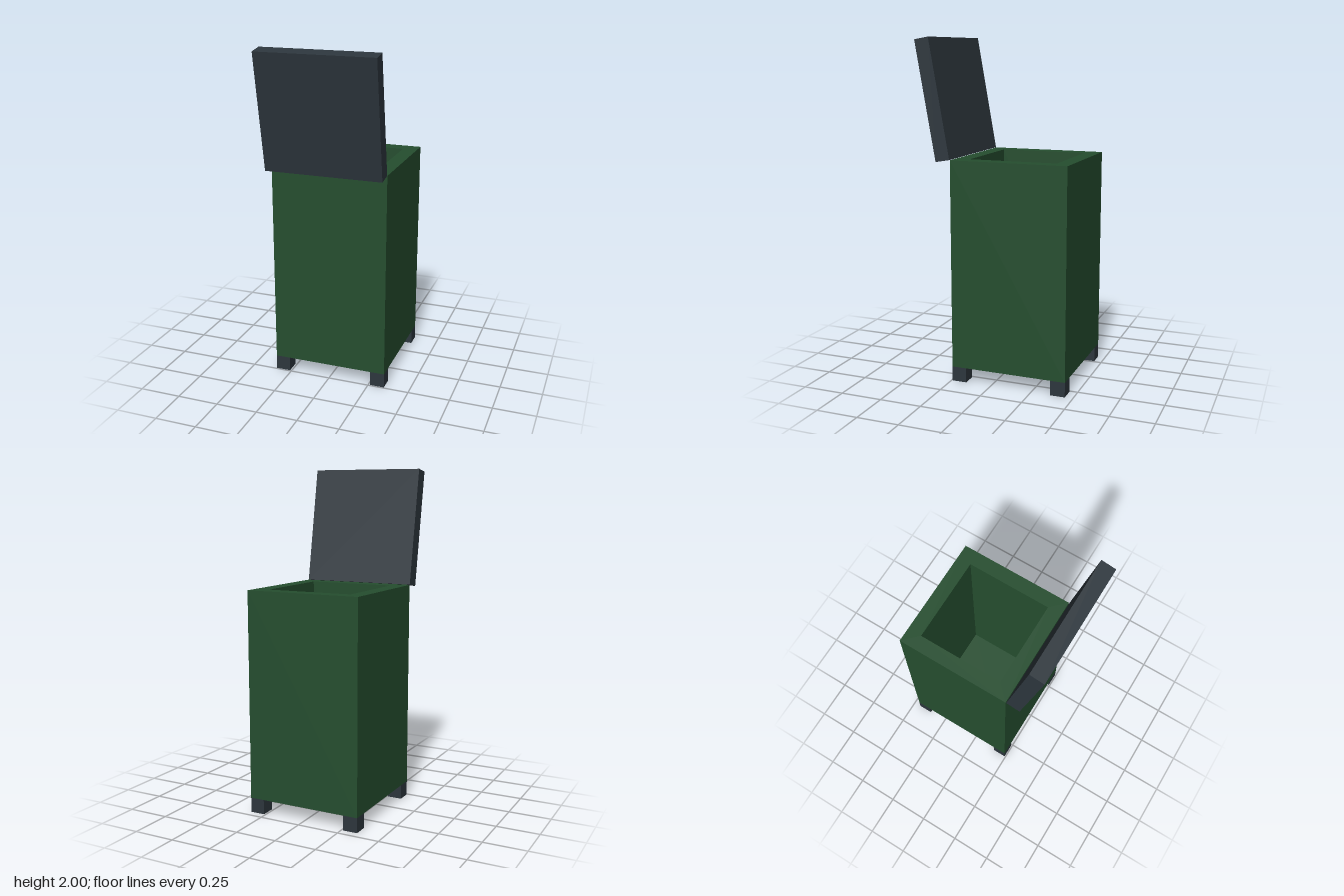
import * as THREE from 'three';

const HALF = 0.348;      // half width of the square bin
const WALL = 0.087;      // wall, lid and foot thickness
const TOP = 1.314;       // rim height
const ZC = -0.105;       // bin centre in z

function square(h, Type) {
  const s = new Type();
  s.moveTo(-h, -h);
  s.lineTo(h, -h);
  s.lineTo(h, h);
  s.lineTo(-h, h);
  s.closePath();
  return s;
}

export function createModel() {
  const green = new THREE.MeshStandardMaterial({ color: 0x254e2f });
  green.name = 'bin green';
  const slate = new THREE.MeshStandardMaterial({ color: 0x2d363d });
  slate.name = 'dark slate';

  const model = new THREE.Group();
  model.name = 'openBin';
  const add = (name, geometry, material, x, y, z, parent = model) => {
    const mesh = new THREE.Mesh(geometry, material);
    mesh.name = name;
    mesh.position.set(x, y, z);
    parent.add(mesh);
    return mesh;
  };

  // Hollow body: square tube standing on a floor slab
  const body = new THREE.Group();
  body.name = 'body';
  model.add(body);
  const outline = square(HALF, THREE.Shape);
  outline.holes.push(square(HALF - WALL, THREE.Path));
  const tube = new THREE.ExtrudeGeometry(outline, { depth: TOP - WALL, bevelEnabled: false });
  tube.rotateX(-Math.PI / 2);
  add('walls', tube, green, 0, WALL, ZC, body);
  const inner = 2 * (HALF - WALL);
  add('floor', new THREE.BoxGeometry(inner, WALL, inner), green, 0, WALL * 1.5, ZC, body);

  // Four corner feet
  const foot = new THREE.BoxGeometry(WALL, WALL, WALL);
  const off = HALF - WALL / 2;
  for (const sx of [-1, 1]) {
    for (const sz of [-1, 1]) {
      const name = (sz > 0 ? 'front' : 'back') + (sx > 0 ? 'Left' : 'Right') + 'Foot';
      add(name, foot, slate, sx * off, WALL / 2, ZC + sz * off);
    }
  }

  // Open lid leaning outwards, hinged on the front rim
  const lid = add('lid', new THREE.BoxGeometry(2 * HALF, 2 * HALF, WALL), slate, 0, 1.65, 0.35);
  lid.rotation.x = THREE.MathUtils.degToRad(10);

  return model;
}
